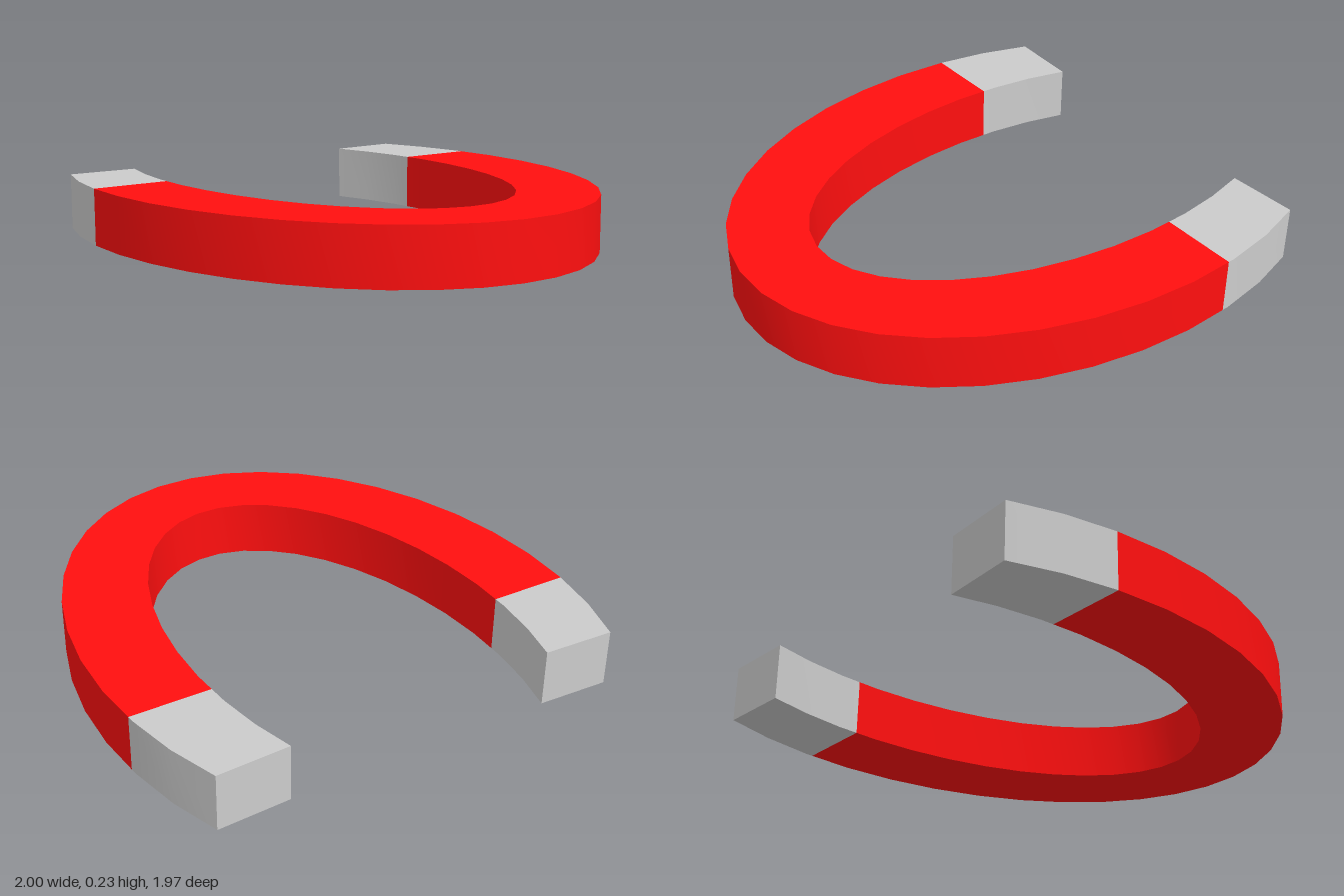
import * as THREE from 'three';
import { toCreasedNormals } from 'three/addons/utils/BufferGeometryUtils.js';

const HEIGHT = 0.235;
const STEP = (Math.PI * 2) / 38;
const HALF = 13; // corners on each side of the bend

// The two elliptical edges of the horseshoe, from the bend to a leg tip
const OUTER = { cx: -0.354, a: 1.358, b: 0.986 };
const INNER = { cx: -0.45, a: 1.129, b: 0.643 };

function halfEdge({ cx, a, b }) {
  return Array.from({ length: HALF }, (_, k) => {
    const t = (k + 0.5) * STEP;
    return new THREE.Vector2(cx + a * Math.cos(t), b * Math.sin(t));
  });
}

// Splits an edge where it crosses x = cut; both halves share the cut point
function splitEdge(points, cut) {
  const i = points.findIndex((p) => p.x < cut);
  const p = points[i - 1];
  const q = points[i];
  const c = p.clone().lerp(q, (cut - p.x) / (q.x - p.x));
  return { bend: [...points.slice(0, i), c], tip: [c, ...points.slice(i)] };
}

// Shape y becomes -z, so the slab lies flat on the ground
function slab(name, outline, color) {
  const shape = new THREE.Shape(outline);
  const flat = new THREE.ExtrudeGeometry(shape, { depth: HEIGHT, bevelEnabled: false });
  flat.rotateX(-Math.PI / 2);
  const mesh = new THREE.Mesh(toCreasedNormals(flat, 0.5), new THREE.MeshStandardMaterial({ color }));
  mesh.name = name;
  return mesh;
}

const mirror = (points) => points.map((p) => new THREE.Vector2(p.x, -p.y));

export function createModel() {
  const group = new THREE.Group();
  group.name = 'horseshoeMagnet';

  // The colour changes at a slightly different place on each leg
  const legs = { back: -0.548, front: -0.579 };
  const outer = {};
  const inner = {};
  for (const [side, cut] of Object.entries(legs)) {
    outer[side] = splitEdge(halfEdge(OUTER), cut);
    inner[side] = splitEdge(halfEdge(INNER), cut);
  }

  // Red curved body
  const bodyOutline = [
    ...mirror(outer.front.bend).reverse(), ...outer.back.bend,
    ...inner.back.bend.reverse(), ...mirror(inner.front.bend),
  ];
  group.add(slab('curvedBody', bodyOutline, 0xff0f0f));

  // Bare grey pole tips
  const backTip = [...outer.back.tip, ...inner.back.tip.reverse()];
  const frontTip = mirror([...outer.front.tip, ...inner.front.tip.reverse()]);
  group.add(slab('backPoleTip', backTip, 0xcccccc));
  group.add(slab('frontPoleTip', frontTip, 0xcccccc));

  return group;
}
